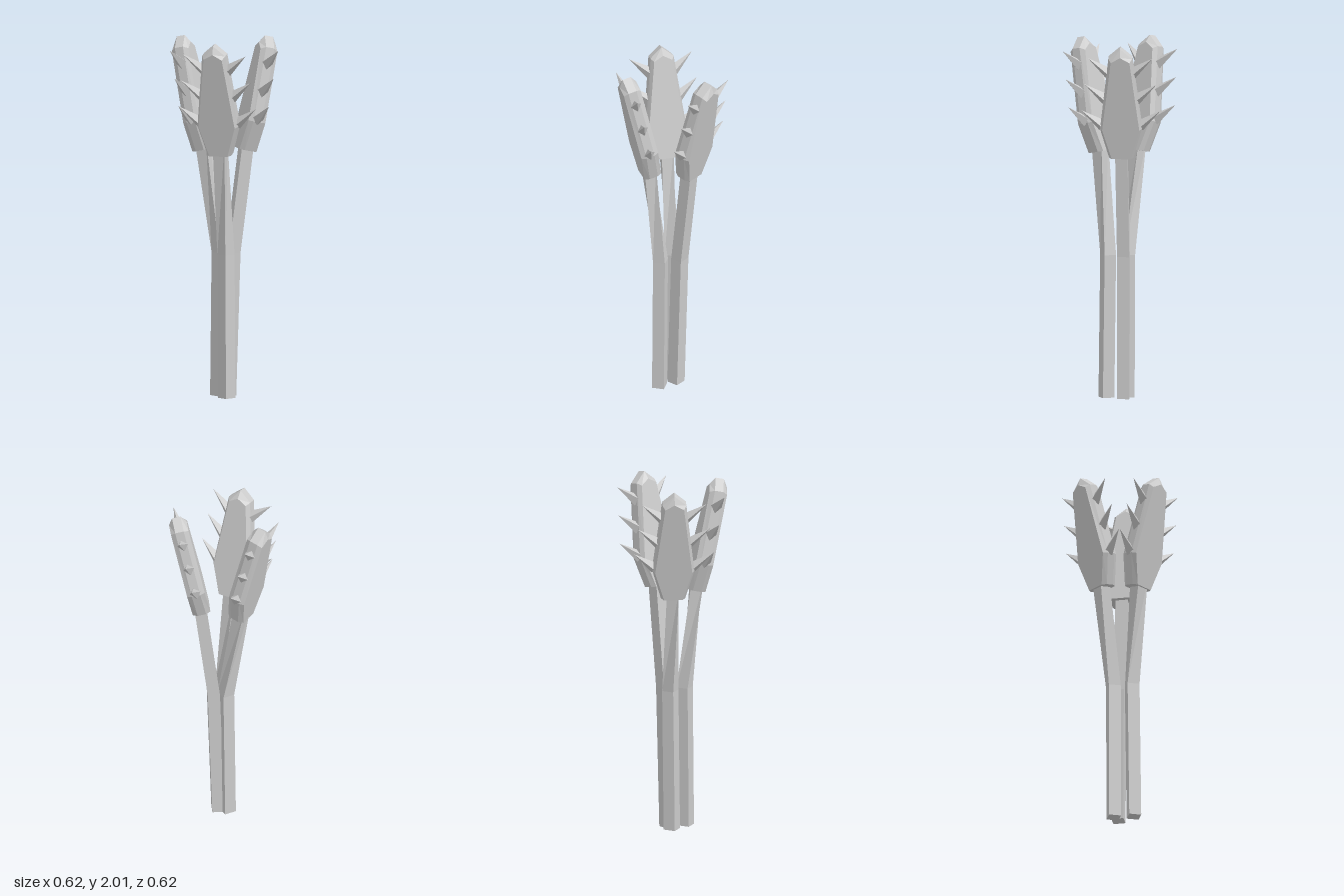
import * as THREE from 'three';

const material = new THREE.MeshStandardMaterial({ color: 0xcccccc, flatShading: true });
const V = (x, y, z) => new THREE.Vector3(x, y, z);

// Closed solid through matching rings, each counter-clockwise seen from the last ring's end
function loft(rings) {
  const pos = [];
  const tri = (...pts) => pts.forEach(p => pos.push(p.x, p.y, p.z));
  const n = rings[0].length;
  for (let i = 0; i < rings.length - 1; i++) {
    for (let j = 0; j < n; j++) {
      const k = (j + 1) % n;
      tri(rings[i][j], rings[i][k], rings[i + 1][k]);
      tri(rings[i][j], rings[i + 1][k], rings[i + 1][j]);
    }
  }
  const first = rings[0], last = rings[rings.length - 1];
  for (let j = 1; j < n - 1; j++) {
    tri(first[0], first[j + 1], first[j]);
    tri(last[0], last[j], last[j + 1]);
  }
  const geo = new THREE.BufferGeometry();
  geo.setAttribute('position', new THREE.Float32BufferAttribute(pos, 3));
  geo.computeVertexNormals();
  return geo;
}

function part(geo, name) {
  const mesh = new THREE.Mesh(geo, material);
  mesh.name = name;
  return mesh;
}

// Square stalk section
function square(x, y, z, angle) {
  return [0, 1, 2, 3].map(i => {
    const t = angle + Math.PI / 4 + i * Math.PI / 2, r = 0.048;
    return V(x + r * Math.cos(t), y, z - r * Math.sin(t));
  });
}

// Coffin-shaped outline of the head at one depth
function outline(z, base, wide, shoulder, shoulderY, apexY) {
  return [
    V(base, 0, z), V(wide, 0.17, z), V(shoulder, shoulderY, z), V(0, apexY, z),
    V(-shoulder, shoulderY, z), V(-wide, 0.17, z), V(-base, 0, z),
  ];
}

// Flat head with bevelled rim
function headGeometry() {
  return loft([
    outline(-0.05, 0.052, 0.103, 0.052, 0.57, 0.60),
    outline(-0.024, 0.068, 0.116, 0.066, 0.585, 0.642),
    outline(0.024, 0.068, 0.116, 0.066, 0.585, 0.642),
    outline(0.05, 0.052, 0.103, 0.052, 0.57, 0.60),
  ]);
}

// Four-sided thorn from base point to tip
function thorn(from, to) {
  const dir = to.clone().sub(from);
  const geo = new THREE.ConeGeometry(0.034, dir.length(), 4);
  geo.translate(0, dir.length() / 2, 0);
  const mesh = part(geo, 'thorn');
  mesh.position.copy(from);
  mesh.quaternion.setFromUnitVectors(V(0, 1, 0), dir.normalize());
  return mesh;
}

// foot, bend and head base as [x, z]; facing is the direction the plant leans
const plants = [
  { foot: [0.004, -0.036], bend: [0.013, -0.06], base: [0.048, -0.12], facing: 156, twist: -24 },
  { foot: [-0.032, 0.005], bend: [-0.031, -0.005], base: [-0.108, 0.047], facing: -61, twist: 0 },
  { foot: [0.075, 0.04], bend: [0.066, 0.037], base: [0.085, 0.093], facing: 34, twist: 0 },
];

export function createModel() {
  const model = new THREE.Group();
  model.name = 'thornyPlants';
  const rad = THREE.MathUtils.degToRad;
  for (const { foot, bend, base, facing, twist } of plants) {
    const plant = new THREE.Group();
    plant.name = 'plant';
    const a = rad(facing);
    // Quarter-turn symmetric twist nearest to the facing
    const topTwist = rad(facing - 90 * Math.round(facing / 90));

    // Bent stalk
    plant.add(part(loft([
      square(foot[0], 0, foot[1], rad(twist)),
      square(bend[0], 0.8, bend[1], rad(twist)),
      square(base[0] + 0.01 * Math.sin(a), 1.43, base[1] + 0.01 * Math.cos(a), topTwist),
    ]), 'stalk'));

    // Head leaning outward, with three thorns on each edge
    const head = new THREE.Group();
    head.name = 'head';
    head.position.set(base[0], 1.373, base[1]);
    head.rotation.set(rad(12.3), a, 0, 'YXZ');
    head.add(part(headGeometry(), 'headBody'));
    for (const side of [-1, 1]) {
      for (let i = 0; i < 3; i++) {
        const y = 0.18 + i * 0.155;
        head.add(thorn(V(side * (0.1 - i * 0.019), y, 0), V(side * (0.22 - i * 0.02), y + 0.095, 0.012)));
      }
    }
    plant.add(head);
    model.add(plant);
  }
  return model;
}
